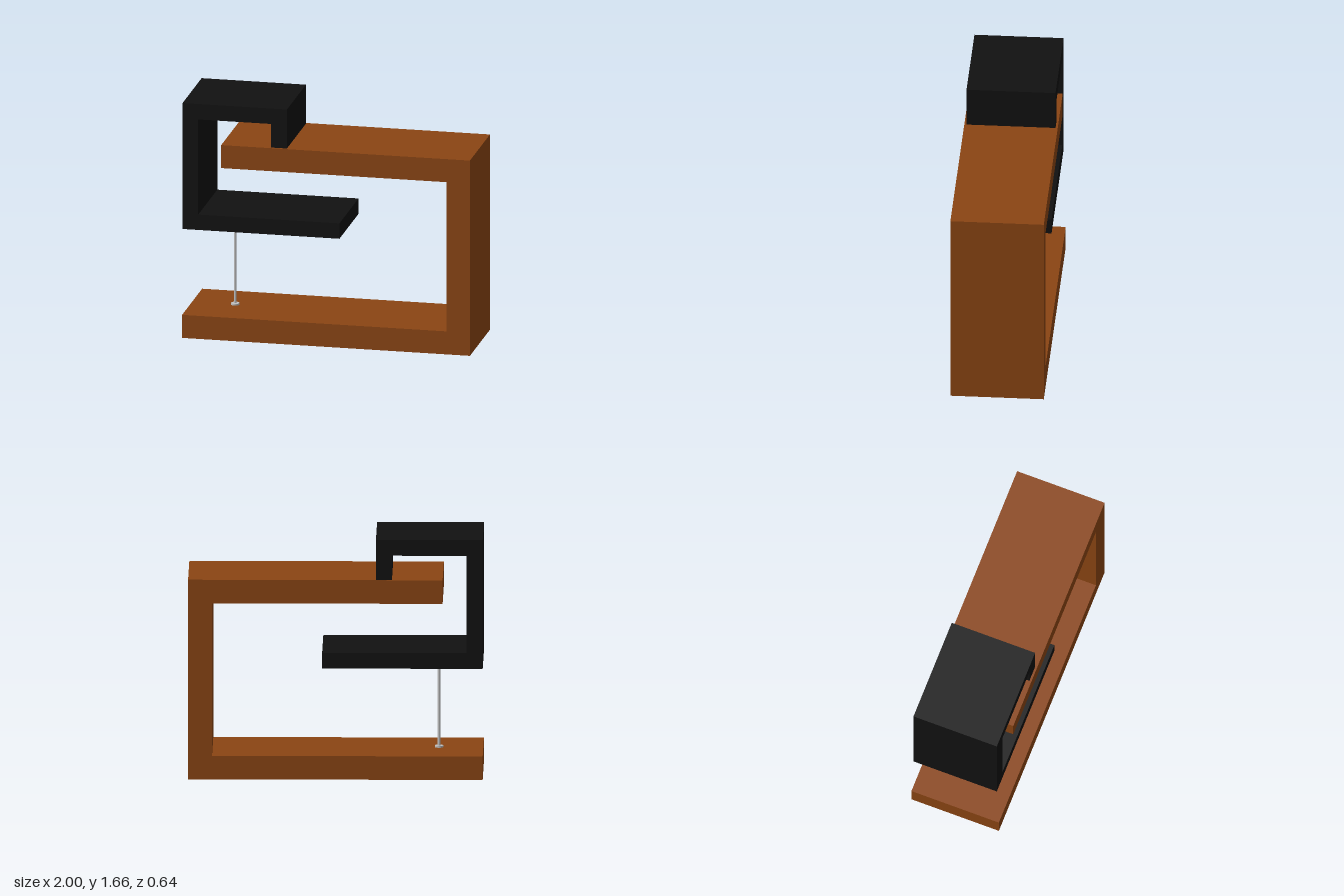
import * as THREE from 'three';

const wood = new THREE.MeshStandardMaterial({ name: 'brown wood', color: 0x8b4513 });
const black = new THREE.MeshStandardMaterial({ name: 'black', color: 0x111111 });
const steel = new THREE.MeshStandardMaterial({ name: 'steel grey', color: 0xc0c0c0 });

// Extrudes an x/y outline to the given depth, centred on z = 0
function slab(name, points, depth, material) {
  const shape = new THREE.Shape(points.map(([x, y]) => new THREE.Vector2(x, y)));
  const geometry = new THREE.ExtrudeGeometry(shape, { depth, bevelEnabled: false });
  geometry.translate(0, 0, -depth / 2);
  const mesh = new THREE.Mesh(geometry, material);
  mesh.name = name;
  return mesh;
}

// Upright cylinder spanning y0 to y1
function rod(name, radius, y0, y1) {
  const mesh = new THREE.Mesh(new THREE.CylinderGeometry(radius, radius, y1 - y0, 24), steel);
  mesh.position.y = (y0 + y1) / 2;
  mesh.name = name;
  return mesh;
}

export function createModel() {
  const model = new THREE.Group();
  model.name = 'tensegrityStand';

  // Wooden base, upright and upper arm in one bent piece
  model.add(slab('woodenFrame', [
    [-1, 0], [1, 0], [1, 1.383], [-0.728, 1.383],
    [-0.728, 1.22], [0.837, 1.22], [0.837, 0.163], [-1, 0.163],
  ], 0.636, wood));

  // Black hook resting on the upper arm, with a longer lower shelf
  model.add(slab('blackHook', [
    [-1, 0.767], [0.09, 0.767], [0.09, 0.876], [-0.891, 0.876],
    [-0.891, 1.55], [-0.384, 1.55], [-0.384, 1.383], [-0.275, 1.383],
    [-0.275, 1.659], [-1, 1.659],
  ], 0.606, black));

  // Tie between base and hook, with a small flange at each end
  const tie = new THREE.Group();
  tie.name = 'tie';
  tie.position.x = -0.7;
  tie.add(rod('tieRod', 0.01, 0.163, 0.767));
  tie.add(rod('lowerFlange', 0.029, 0.163, 0.175));
  tie.add(rod('upperFlange', 0.029, 0.755, 0.767));
  model.add(tie);

  return model;
}
